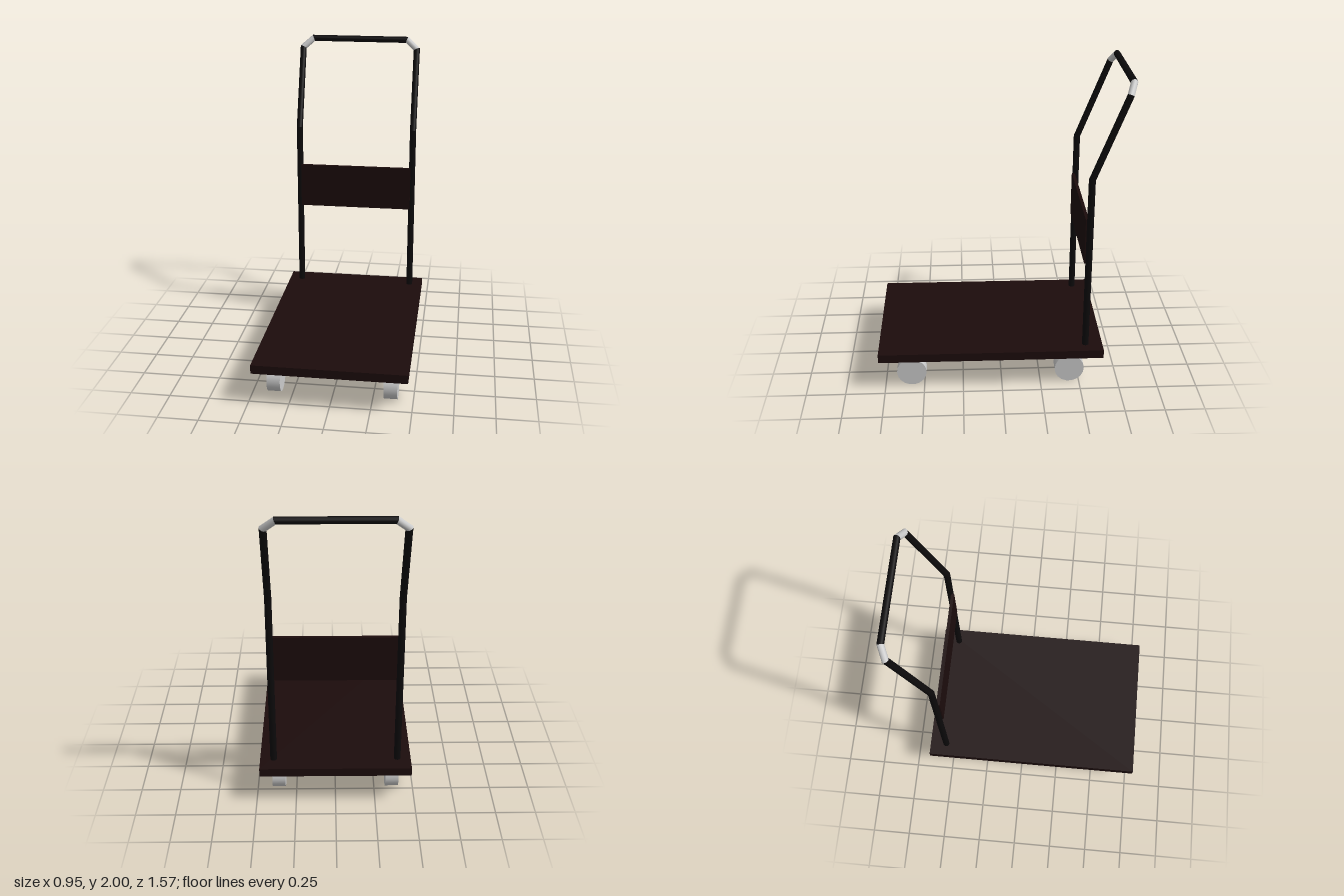
import * as THREE from 'three';

const mat = (color) => new THREE.MeshStandardMaterial({ color });

// straight pipe from a to b, its ends cut along planes with normals na and nb
function pipe(a, b, na, nb, radius) {
  const dir = b.clone().sub(a);
  const length = dir.length();
  dir.normalize();
  const geo = new THREE.CylinderGeometry(radius, radius, length, 12);
  geo.applyQuaternion(new THREE.Quaternion().setFromUnitVectors(new THREE.Vector3(0, 1, 0), dir));
  const mid = a.clone().add(b).multiplyScalar(0.5);
  geo.translate(mid.x, mid.y, mid.z);
  const pos = geo.attributes.position;
  const v = new THREE.Vector3();
  for (let i = 0; i < pos.count; i++) {
    v.fromBufferAttribute(pos, i);
    const atEnd = v.clone().sub(mid).dot(dir) > 0;
    const p = atEnd ? b : a;
    const n = atEnd ? nb : na;
    v.addScaledVector(dir, -v.clone().sub(p).dot(n) / dir.dot(n));
    pos.setXYZ(i, v.x, v.y, v.z);
  }
  return geo;
}

export function createModel() {
  const group = new THREE.Group();
  const add = (name, geo, material, x = 0, y = 0, z = 0) => {
    const mesh = new THREE.Mesh(geo, material);
    mesh.name = name;
    mesh.position.set(x, y, z);
    group.add(mesh);
    return mesh;
  };
  const wood = mat(0x1c0c0c);
  const black = mat(0x0c0a0b);
  const grey = mat(0xcccccc);

  // platform
  add('deck', new THREE.BoxGeometry(0.95, 0.056, 1.43), wood, 0, 0.243, 0.07);

  // four wheels
  for (const x of [-0.362, 0.362]) {
    for (const z of [0.58, -0.437]) {
      const geo = new THREE.CylinderGeometry(0.095, 0.095, 0.084, 18);
      geo.rotateZ(Math.PI / 2);
      add((z > 0 ? 'front' : 'rear') + (x > 0 ? 'Left' : 'Right') + 'Wheel', geo, grey, x, 0.096, z);
    }
  }

  // push handle: mitred pipes up one side, across and down the other
  const half = [[0.39, 0.25, -0.536], [0.39, 1.405, -0.536], [0.39, 1.922, -0.737], [0.322, 1.98, -0.765]];
  const pts = [
    ...half.map((p) => new THREE.Vector3(...p)),
    ...half.slice().reverse().map(([x, y, z]) => new THREE.Vector3(-x, y, z)),
  ];
  const dirs = pts.slice(1).map((p, i) => p.clone().sub(pts[i]).normalize());
  const cuts = pts.map((p, i) => {
    const before = dirs[Math.max(i - 1, 0)];
    const after = dirs[Math.min(i, dirs.length - 1)];
    return before.clone().add(after).normalize();
  });
  const names = ['leftPost', 'leftUpperPost', 'leftCorner', 'gripBar', 'rightCorner', 'rightUpperPost', 'rightPost'];
  names.forEach((name, i) => {
    const geo = pipe(pts[i], pts[i + 1], cuts[i], cuts[i + 1], 0.021);
    add(name, geo, name.endsWith('Corner') ? grey : black);
  });

  // back panel between the posts
  add('backPanel', new THREE.BoxGeometry(0.76, 0.296, 0.02), wood, 0, 0.993, -0.519);

  return group;
}
